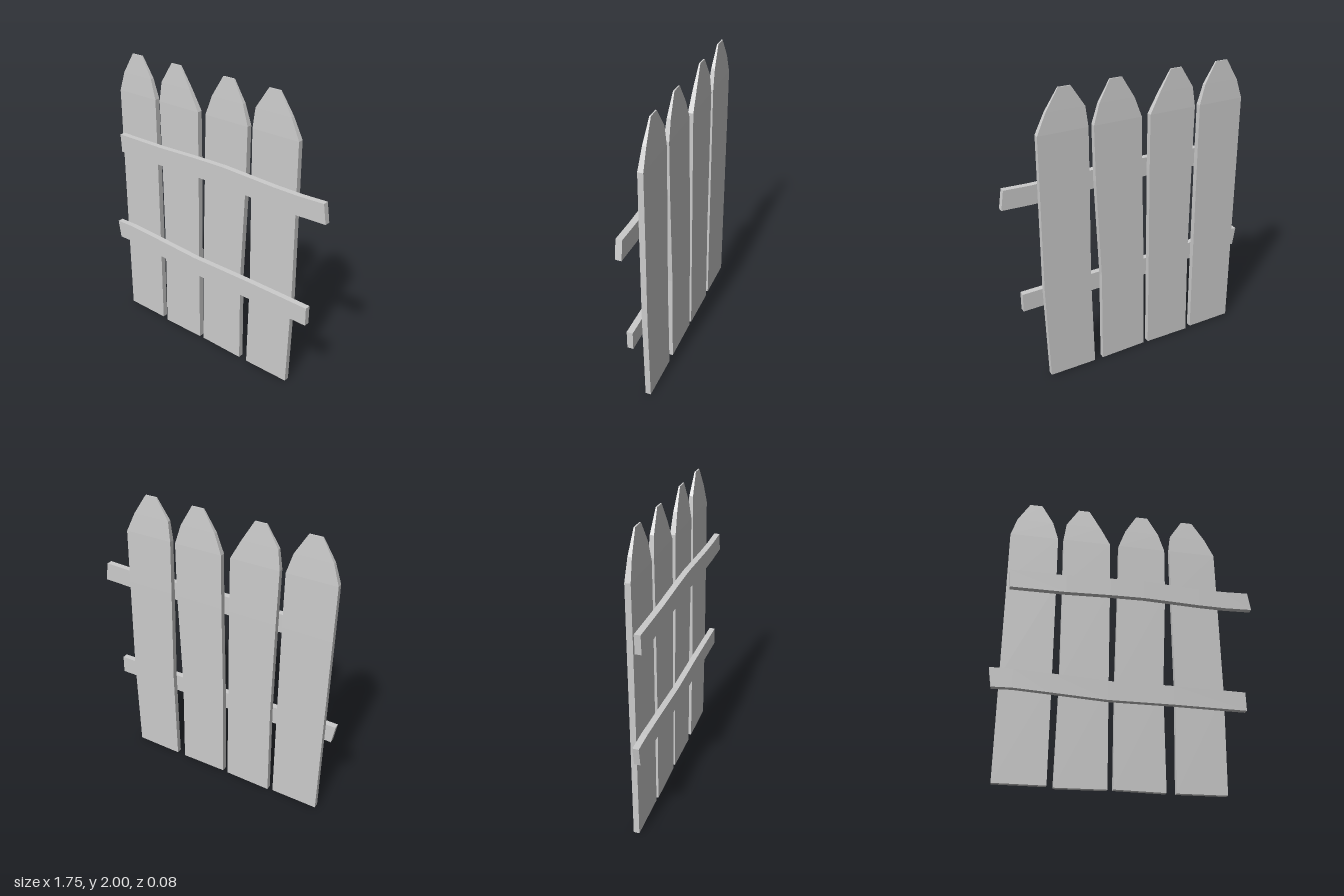
import * as THREE from 'three';

const material = new THREE.MeshStandardMaterial({ color: 0xcccccc, flatShading: true });

// Closed plank through stations [ax, ay, bx, by, zBack, zFront]:
// a is the left edge and b the right edge when looking along the plank.
function plank(name, stations) {
  const rings = stations.map(([ax, ay, bx, by, zb, zf]) => [
    [ax, ay, zf], [bx, by, zf], [bx, by, zb], [ax, ay, zb],
  ]);
  const positions = [];
  const quad = (a, b, c, d) => positions.push(...a, ...b, ...c, ...a, ...c, ...d);
  for (let s = 0; s < rings.length - 1; s++) {
    const r0 = rings[s], r1 = rings[s + 1];
    for (let i = 0; i < 4; i++) {
      const j = (i + 1) % 4;
      quad(r0[i], r0[j], r1[j], r1[i]);
    }
  }
  const first = rings[0], last = rings[rings.length - 1];
  quad(first[0], first[3], first[2], first[1]);
  quad(...last);
  const geometry = new THREE.BufferGeometry();
  geometry.setAttribute('position', new THREE.Float32BufferAttribute(positions, 3));
  geometry.computeVertexNormals();
  const mesh = new THREE.Mesh(geometry, material);
  mesh.name = name;
  return mesh;
}

// Pickets: heights shared by all, thinning towards the pointed tip
const HEIGHTS = [0, 0.68, 1.37, 1.735, 1.865, 2];
const DEPTHS = [[-0.038, 0], [-0.038, 0], [-0.038, 0], [-0.037, -0.001], [-0.031, -0.006], [-0.023, -0.014]];
// Left and right edge x at each height, plus the foot heights of both corners
const PICKETS = [
  { foot: [0.015, 0.014], left: [-0.812, -0.812, -0.812, -0.812, -0.77, -0.69], right: [-0.486, -0.484, -0.484, -0.486, -0.525, -0.605] },
  { foot: [0.004, 0.007], left: [-0.447, -0.436, -0.442, -0.448, -0.43, -0.347], right: [-0.12, -0.12, -0.118, -0.12, -0.19, -0.27] },
  { foot: [0.01, 0.004], left: [-0.085, -0.08, -0.063, -0.058, -0.01, 0.07], right: [0.246, 0.24, 0.267, 0.27, 0.228, 0.152] },
  { foot: [0.004, 0.006], left: [0.308, 0.32, 0.31, 0.306, 0.32, 0.405], right: [0.638, 0.65, 0.64, 0.635, 0.572, 0.485] },
];

// Rails: [top x, top y, bottom x, bottom y] along the length
const RAILS = {
  upperRail: [
    [-0.797, 1.43, -0.79, 1.303], [-0.42, 1.43, -0.42, 1.303], [-0.12, 1.44, -0.12, 1.312],
    [0.11, 1.443, 0.11, 1.315], [0.5, 1.426, 0.5, 1.3], [0.68, 1.424, 0.68, 1.297], [0.852, 1.43, 0.873, 1.303],
  ],
  lowerRail: [
    [-0.878, 0.725, -0.858, 0.597], [-0.73, 0.727, -0.73, 0.6], [-0.5, 0.715, -0.5, 0.587],
    [-0.13, 0.692, -0.13, 0.564], [0.3, 0.692, 0.3, 0.564], [0.785, 0.684, 0.787, 0.557],
  ],
};

export function createModel() {
  const fence = new THREE.Group();
  fence.name = 'picketFence';

  PICKETS.forEach(({ foot, left, right }, n) => {
    const stations = HEIGHTS.map((y, i) => [
      left[i], i ? y : foot[0], right[i], i ? y : foot[1], ...DEPTHS[i],
    ]);
    fence.add(plank(`picket${n + 1}`, stations));
  });

  for (const [name, edges] of Object.entries(RAILS)) {
    fence.add(plank(name, edges.map((e) => [...e, 0, 0.04])));
  }
  return fence;
}
